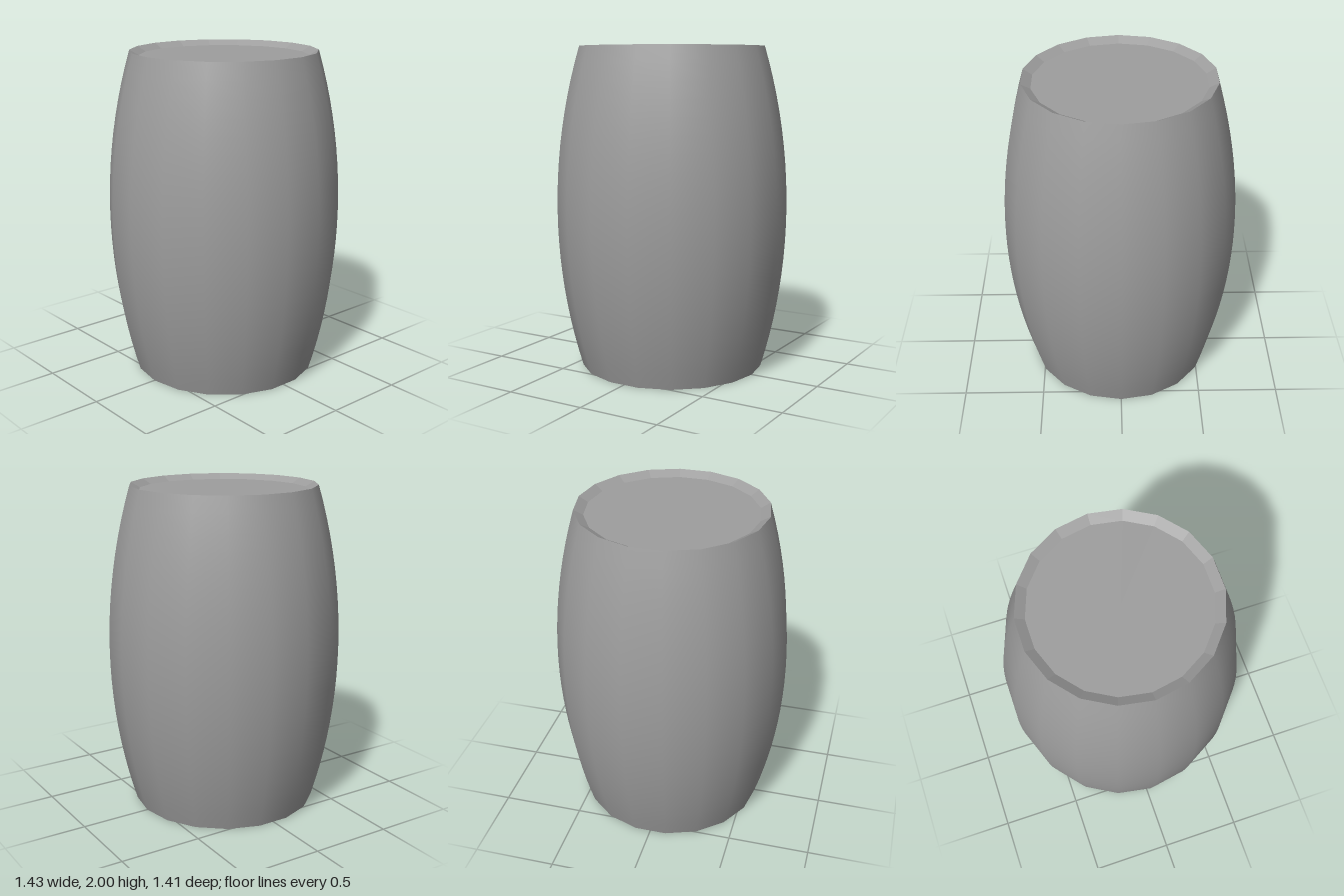
import * as THREE from 'three';

const SIDES = 18;
const HEIGHT = 2, END_R = 0.57, MID_R = 0.717;
const HEAD_R = 0.514, HEAD_DEPTH = 0.032;
const GREY = 0x9e9e9e;

// Revolve [radius, y] pairs, with corners landing on the x axis
function lathe(name, points, material) {
  const profile = points.map(([r, y]) => new THREE.Vector2(r, y));
  const geometry = new THREE.LatheGeometry(profile, SIDES, Math.PI / 2);
  geometry.normalizeNormals(); // keeps the shading even up to the last ring
  const mesh = new THREE.Mesh(geometry, material);
  mesh.name = name;
  return mesh;
}

export function createModel() {
  const group = new THREE.Group();
  group.name = 'barrel';
  const smooth = new THREE.MeshStandardMaterial({ color: GREY });
  const flat = new THREE.MeshStandardMaterial({ color: GREY, flatShading: true });

  // Bulging wall: a circular arc from rim to rim
  const half = HEIGHT / 2, bulge = MID_R - END_R;
  const arcR = (half * half + bulge * bulge) / (2 * bulge);
  const wall = [];
  for (let i = 0; i <= 20; i++) {
    const y = (HEIGHT * i) / 20;
    wall.push([MID_R - arcR + Math.sqrt(arcR * arcR - (y - half) ** 2), y]);
  }
  group.add(lathe('wall', wall, smooth));

  // Shallow recessed heads with a sloped lip
  group.add(lathe('topHead', [[END_R, HEIGHT], [HEAD_R, HEIGHT - HEAD_DEPTH], [0, HEIGHT - HEAD_DEPTH]], flat));
  group.add(lathe('bottomHead', [[0, HEAD_DEPTH], [HEAD_R, HEAD_DEPTH], [END_R, 0]], flat));

  return group;
}
